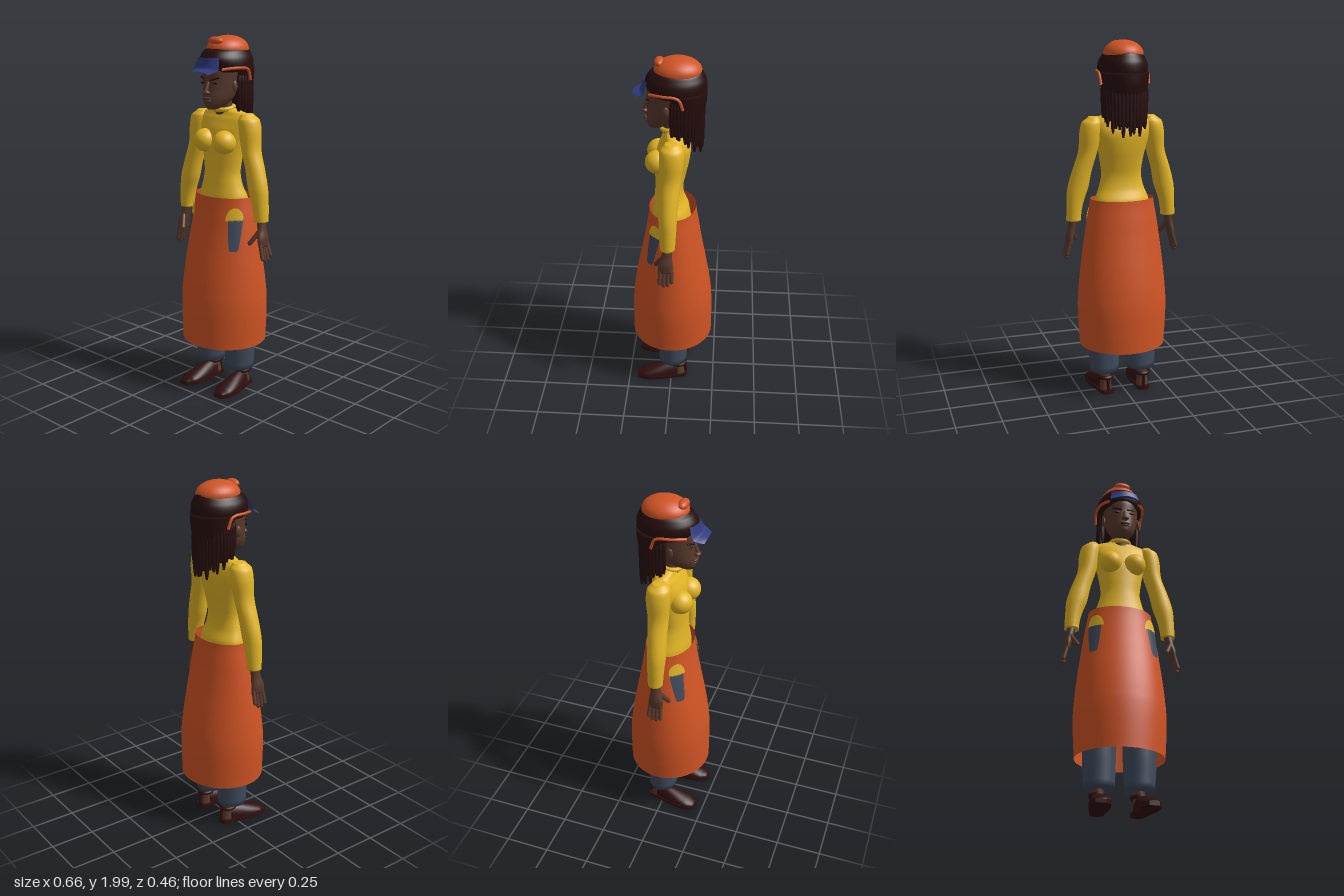
import * as THREE from 'three';

const mat = (name, color, side = THREE.FrontSide) => {
  const m = new THREE.MeshStandardMaterial({ color, side });
  m.name = name;
  return m;
};

// Surface through rings [y, cx, cz, rx, rFront, rBack], listed bottom to top
function loft(rings, { sides = 32, steps = 5, caps = true } = {}) {
  const rows = [];
  const at = i => rings[Math.max(0, Math.min(rings.length - 1, i))];
  for (let i = 0; i < rings.length - 1; i++) {
    for (let s = 0; s < steps; s++) {
      const t = s / steps;
      rows.push(rings[0].map((_, k) => {
        const [a, b, c, d] = [at(i - 1)[k], at(i)[k], at(i + 1)[k], at(i + 2)[k]];
        if (k === 0) return b + (c - b) * t;
        return 0.5 * (2 * b + (c - a) * t + (2 * a - 5 * b + 4 * c - d) * t * t + (3 * b - a - 3 * c + d) * t ** 3);
      }));
    }
  }
  rows.push(at(rings.length));
  const pos = [], idx = [];
  for (const [y, cx, cz, rx, rf, rb] of rows) {
    for (let j = 0; j < sides; j++) {
      const a = j / sides * Math.PI * 2, c = Math.cos(a);
      pos.push(cx + rx * Math.sin(a), y, cz + c * (c > 0 ? rf : rb));
    }
  }
  for (let i = 0; i < rows.length - 1; i++) {
    for (let j = 0; j < sides; j++) {
      const k = (j + 1) % sides, a = i * sides, b = a + sides;
      idx.push(a + j, a + k, b + k, a + j, b + k, b + j);
    }
  }
  if (caps) {
    const n = rows.length, top = (n - 1) * sides;
    for (const r of [rows[0], rows[n - 1]]) pos.push(r[1], r[0], r[2]);
    for (let j = 0; j < sides; j++) {
      const k = (j + 1) % sides;
      idx.push(n * sides, k, j, n * sides + 1, top + j, top + k);
    }
  }
  return finish(pos, idx);
}

function finish(pos, idx) {
  const g = new THREE.BufferGeometry();
  g.setAttribute('position', new THREE.Float32BufferAttribute(pos, 3));
  g.setIndex(idx);
  g.computeVertexNormals();
  return g;
}

// Open sheet from a rule f(u, v) with u and v in 0..1
function sheet(f, nu = 16, nv = 12) {
  const pos = [], idx = [];
  for (let i = 0; i <= nv; i++) for (let j = 0; j <= nu; j++) pos.push(...f(j / nu, i / nv));
  for (let i = 0; i < nv; i++) {
    for (let j = 0; j < nu; j++) {
      const a = i * (nu + 1) + j, b = a + nu + 1;
      idx.push(a, a + 1, b + 1, a, b + 1, b);
    }
  }
  return finish(pos, idx);
}

const ball = (x, y, z, rx, ry, rz) => new THREE.SphereGeometry(1, 28, 18).scale(rx, ry, rz).translate(x, y, z);

// Rounded rod between two points
function rod(a, b, r) {
  const p = new THREE.Vector3(...a), q = new THREE.Vector3(...b), d = q.clone().sub(p);
  const g = new THREE.CapsuleGeometry(r, d.length(), 4, 10);
  g.applyQuaternion(new THREE.Quaternion().setFromUnitVectors(new THREE.Vector3(0, 1, 0), d.normalize()));
  return g.translate(...p.add(q).multiplyScalar(0.5).toArray());
}

const tube = (pts, r) => new THREE.TubeGeometry(
  new THREE.CatmullRomCurve3(pts.map(p => new THREE.Vector3(...p))), 20, r, 8);

export function createModel() {
  const model = new THREE.Group();
  model.name = 'figure';
  const orange = mat('orange cloth', 0xd05424, THREE.DoubleSide);
  const yellow = mat('yellow shirt', 0xe3b526, THREE.DoubleSide);
  const denim = mat('denim', 0x3f4b5d, THREE.DoubleSide);
  const skin = mat('skin', 0x58392c);
  const hair = mat('dark hair', 0x260d0d);
  const blue = mat('visor blue', 0x303c80, THREE.DoubleSide);
  const shoe = mat('shoe brown', 0x300f0f);
  const add = (name, geo, m, parent = model) => {
    const mesh = new THREE.Mesh(geo, m);
    mesh.name = name;
    parent.add(mesh);
    return mesh;
  };

  // Skirt, open at the hem
  const skirtRings = [
    [0.29, 0, 0, 0.243, 0.23, 0.23], [0.4, 0, 0, 0.25, 0.23, 0.23], [0.51, 0, 0, 0.254, 0.228, 0.228],
    [0.6, 0, 0, 0.25, 0.22, 0.22], [0.75, 0, 0, 0.236, 0.196, 0.196], [0.9, 0, 0, 0.217, 0.165, 0.167],
    [1.02, 0, 0, 0.199, 0.143, 0.147], [1.135, 0, 0, 0.18, 0.128, 0.13]];
  add('skirt', loft(skirtRings, { sides: 64, caps: false }), orange);

  // Torso and bust
  add('torso', loft([
    [1.0, 0, 0, 0.165, 0.11, 0.11], [1.13, 0, 0, 0.153, 0.108, 0.09], [1.19, 0, 0.01, 0.13, 0.09, 0.075],
    [1.26, 0, 0.01, 0.114, 0.085, 0.068], [1.34, 0, 0.01, 0.122, 0.085, 0.083], [1.42, 0, 0, 0.138, 0.095, 0.09],
    [1.5, 0, -0.01, 0.16, 0.09, 0.087], [1.56, 0, -0.01, 0.17, 0.065, 0.07], [1.59, 0, -0.01, 0.14, 0.05, 0.055],
    [1.61, 0, -0.005, 0.065, 0.045, 0.045]], { sides: 40 }), yellow);
  add('collar', new THREE.TorusGeometry(0.054, 0.012, 10, 32).rotateX(Math.PI / 2 + 0.15).translate(0, 1.612, 0.004), yellow);
  add('neck', loft([[1.57, 0, 0, 0.055, 0.045, 0.045], [1.64, 0, 0.01, 0.05, 0.045, 0.045], [1.72, 0, 0.02, 0.05, 0.045, 0.045]]), skin);

  for (const s of [-1, 1]) {
    const side = new THREE.Group();
    side.name = s > 0 ? 'leftSide' : 'rightSide';
    model.add(side);
    add('bust', ball(s * 0.07, 1.435, 0.078, 0.063, 0.064, 0.066), yellow, side);

    // Sleeve and hand
    add('sleeve', loft([
      [1.02, 0.276, 0.01, 0.041, 0.04, 0.04], [1.05, 0.275, 0.01, 0.041, 0.042, 0.042],
      [1.12, 0.267, 0.01, 0.047, 0.046, 0.046], [1.2, 0.25, 0.01, 0.058, 0.05, 0.05],
      [1.3, 0.226, 0.005, 0.054, 0.052, 0.052], [1.4, 0.195, 0, 0.052, 0.056, 0.056],
      [1.5, 0.182, -0.005, 0.059, 0.064, 0.064], [1.56, 0.172, -0.005, 0.055, 0.06, 0.06],
      [1.59, 0.16, -0.005, 0.03, 0.035, 0.035]].map(([y, x, ...r]) => [y, s * x, ...r])), yellow, side);
    add('palm', loft([
      [0.885, 0.302, 0.017, 0.014, 0.042, 0.04], [0.93, 0.297, 0.018, 0.021, 0.042, 0.038],
      [0.98, 0.286, 0.014, 0.022, 0.03, 0.028], [1.04, 0.277, 0.01, 0.025, 0.025, 0.025]]
      .map(([y, x, ...r]) => [y, s * x, ...r])), skin, side);
    [[-0.015, 0.835], [0.007, 0.815], [0.029, 0.812], [0.051, 0.825]].forEach(([z, y]) =>
      add('finger', rod([s * 0.302, 0.9, 0.017 + (z - 0.017) * 0.9], [s * 0.321, y, z], 0.0105), skin, side));
    add('thumb', rod([s * 0.285, 0.97, 0.035], [s * 0.252, 0.905, 0.075], 0.0125), skin, side);

    // Trouser leg
    add('trouserLeg', loft([
      [0.13, s * 0.108, -0.008, 0.083, 0.08, 0.083], [0.3, s * 0.11, -0.008, 0.09, 0.088, 0.085],
      [0.7, s * 0.1, 0, 0.09, 0.09, 0.09], [1.02, s * 0.085, 0, 0.08, 0.085, 0.085]], { sides: 28 }), denim, side);

    // Pocket patches lying on the skirt
    const onSkirt = (x, y) => {
      const i = Math.max(0, skirtRings.findIndex(r => r[0] > y) - 1), [p, q] = [skirtRings[i], skirtRings[i + 1]];
      const t = (y - p[0]) / (q[0] - p[0]), rx = p[3] + (q[3] - p[3]) * t, rz = p[4] + (q[4] - p[4]) * t;
      return [x + s * 0.004, y, rz * Math.sqrt(Math.max(0, 1 - (x / rx) ** 2)) + 0.005];
    };
    const patch = (y0, y1, mid, half, lean) => sheet((u, v) => {
      const k = Math.min(1, half(v)), y = y0 + (y1 - y0) * v;
      return onSkirt(s * (mid + lean * v) + (u - 0.5) * k, y);
    });
    add('denimPatch', patch(0.85, 1.02, 0.168, v => 0.03 + 0.03 * Math.sqrt(v), -0.013), denim, side);
    add('yellowPatch', patch(1.015, 1.085, 0.148, v => 0.072 * Math.sqrt(1.02 - v * v), 0.003), yellow, side);

    // Foot and shoe, toes turned slightly out
    const foot = new THREE.Group();
    foot.name = 'foot';
    foot.position.set(s * 0.115, 0, 0);
    foot.rotation.y = s * 0.1;
    side.add(foot);
    add('ankle', loft([[0.02, 0, -0.045, 0.035, 0.05, 0.035], [0.08, 0, -0.04, 0.03, 0.04, 0.03], [0.2, 0, -0.03, 0.035, 0.035, 0.035]]), skin, foot);
    const outline = new THREE.Shape();
    outline.moveTo(-0.035, -0.08);
    outline.bezierCurveTo(-0.04, 0.02, -0.085, 0.15, -0.03, 0.205);
    outline.lineTo(0.025, 0.205);
    outline.bezierCurveTo(0.085, 0.15, 0.04, 0.02, 0.035, -0.08);
    outline.quadraticCurveTo(0, -0.11, -0.035, -0.08);
    add('sole', new THREE.ExtrudeGeometry(outline, { depth: 0.02, bevelEnabled: false, curveSegments: 14 })
      .rotateX(Math.PI / 2).translate(0, 0.025, 0), shoe, foot);
    add('shoeUpper', loft([
      [-0.035, 0, -0.03, 0.035, 0.01, 0.07], [0.02, 0, -0.03, 0.045, 0.01, 0.068], [0.09, 0, -0.03, 0.055, 0.01, 0.05],
      [0.16, 0, -0.028, 0.052, 0.008, 0.028], [0.2, 0, -0.025, 0.025, 0.005, 0.008]]).rotateX(Math.PI / 2), shoe, foot);
    add('ankleStrap', new THREE.TorusGeometry(0.038, 0.009, 8, 28).rotateX(Math.PI / 2).scale(1, 1.4, 1.1).translate(0, 0.1, -0.04), shoe, foot);
    add('heelStrap', rod([0, 0.03, -0.085], [0, 0.1, -0.08], 0.01), shoe, foot);

    // Eye, brow, ear and cap strap
    add('eye', ball(s * 0.042, 1.752, 0.122, 0.019, 0.006, 0.006), hair, side);
    add('brow', rod([s * 0.02, 1.768, 0.134], [s * 0.063, 1.782, 0.113], 0.005), hair, side);
    add('ear', ball(s * 0.104, 1.735, 0.03, 0.01, 0.03, 0.018), skin, side);
    add('capStrap', tube([[s * 0.09, 1.826, 0.115], [s * 0.128, 1.832, 0.05], [s * 0.137, 1.822, -0.035], [s * 0.134, 1.765, -0.06]], 0.008), orange, side);
  }

  // Head and face
  add('head', loft([
    [1.612, 0, 0.09, 0.026, 0.035, 0.04], [1.635, 0, 0.06, 0.054, 0.077, 0.06], [1.67, 0, 0.04, 0.076, 0.1, 0.08],
    [1.72, 0, 0.02, 0.09, 0.114, 0.1], [1.77, 0, 0.01, 0.098, 0.122, 0.12], [1.83, 0, 0, 0.103, 0.132, 0.13],
    [1.9, 0, 0, 0.09, 0.1, 0.12]]), skin);
  add('noseBridge', rod([0, 1.75, 0.13], [0, 1.708, 0.148], 0.011), skin);
  add('noseTip', ball(0, 1.702, 0.145, 0.022, 0.014, 0.019), skin);
  add('upperLip', ball(0, 1.672, 0.138, 0.03, 0.007, 0.012), skin);
  add('lowerLip', ball(0, 1.658, 0.136, 0.026, 0.008, 0.012), skin);
  add('mouthLine', ball(0, 1.665, 0.142, 0.026, 0.002, 0.007), hair);

  // Hair mass: a full band above, the back and sides below
  add('hairBand', loft([
    [1.81, 0, -0.015, 0.128, 0.135, 0.16], [1.84, 0, -0.015, 0.135, 0.152, 0.163], [1.88, 0, -0.015, 0.13, 0.157, 0.16],
    [1.915, 0, -0.015, 0.112, 0.135, 0.145], [1.935, 0, -0.02, 0.095, 0.11, 0.13]], { sides: 40 }), hair);
  add('hairBack', loft([
    [1.63, 0, -0.07, 0.095, 0.03, 0.065], [1.69, 0, -0.06, 0.115, 0.07, 0.1], [1.76, 0, -0.055, 0.126, 0.085, 0.12],
    [1.83, 0, -0.05, 0.132, 0.1, 0.128]], { sides: 40 }), hair);

  // Hanging locks around the back and sides, uneven in length
  const locks = 25;
  for (let i = 0; i < locks; i++) {
    const t = i / (locks - 1) * 2 - 1, a = Math.PI + t * 2.05;
    const x = Math.sin(a), z = Math.cos(a), back = Math.max(0, -z);
    const end = 1.585 - 0.075 * back + 0.028 * Math.sin(i * 2.4), px = x * 0.115, pz = -0.05 + z * 0.105;
    add('lock', loft([
      [end, px, pz, 0.006, 0.006, 0.006], [end + 0.03, px, pz, 0.011, 0.011, 0.011],
      [1.69, px * 1.02, pz, 0.014, 0.014, 0.014], [1.79, px, pz, 0.012, 0.012, 0.012]], { sides: 8, steps: 3 }), hair);
  }

  // Cap crown with its front badge
  add('capCrown', ball(0, 1.925, -0.027, 0.107, 0.073, 0.125), orange);
  add('crownBadge', ball(0, 1.97, 0.068, 0.048, 0.023, 0.027), orange);

  // Visor: upright band turning into the brim
  const visor = new THREE.CatmullRomCurve3([
    [0.074, 1.885, 0.152], [0.084, 1.85, 0.158], [0.088, 1.83, 0.165], [0.08, 1.822, 0.185], [0.064, 1.816, 0.205]]
    .map(p => new THREE.Vector3(...p)));
  add('visor', sheet((u, v) => {
    const p = visor.getPoint(1 - v), k = u * 2 - 1;
    return [p.x * k, p.y - 0.014 * (1 - v) * k * k, p.z - (0.006 + 0.02 * v) * k * k];
  }, 20, 16), blue);

  return model;
}
